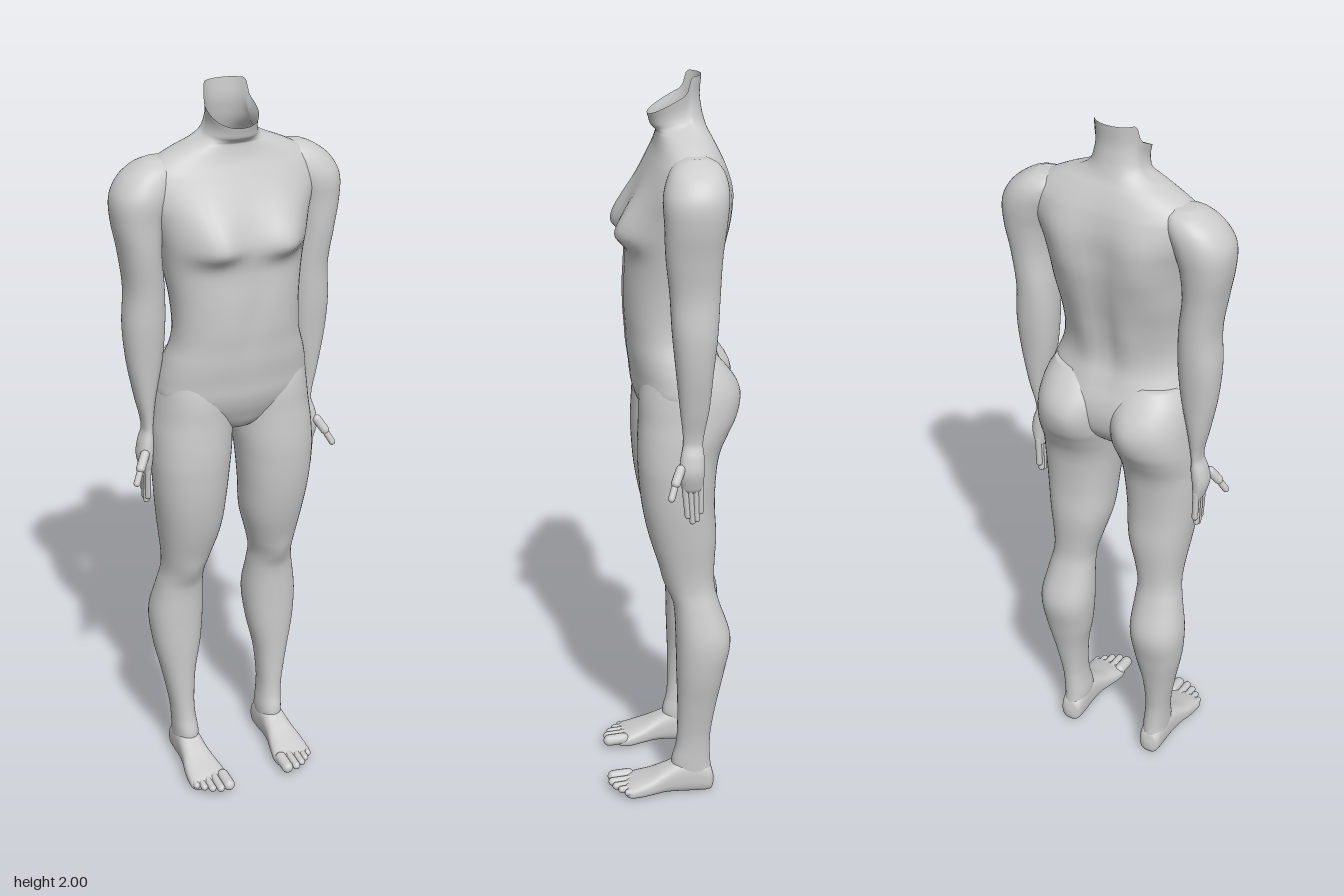
import * as THREE from 'three';

const SIDES = 48, STEPS = 6;
const bell = (d, w) => Math.exp(-(d * d) / (w * w));

// Smooth interpolation between section rows: [t, a0, a1, b0, b1]
function refine(rows) {
  const out = [];
  const slope = (i, k) => {
    const p = rows[Math.max(i - 1, 0)], q = rows[Math.min(i + 1, rows.length - 1)];
    return (q[k] - p[k]) / (q[0] - p[0]);
  };
  for (let i = 0; i < rows.length - 1; i++) {
    const h = rows[i + 1][0] - rows[i][0];
    for (let s = 0; s < STEPS; s++) {
      const u = s / STEPS, u2 = u * u, u3 = u2 * u;
      out.push(rows[i].map((v, k) => k === 0 ? v + h * u :
        (2 * u3 - 3 * u2 + 1) * v + (u3 - 2 * u2 + u) * h * slope(i, k) +
        (3 * u2 - 2 * u3) * rows[i + 1][k] + (u3 - u2) * h * slope(i + 1, k)));
    }
  }
  out.push(rows[rows.length - 1]);
  return out;
}

// Skin over rounded sections, stacked along y (or z), with an optional vertex rule
function loft(rows, { alongZ = false, power = 0.9, capTop = true, rule } = {}) {
  const rings = refine(rows).map(r => [...r, 1]);
  rings.unshift([...rings[0].slice(0, 5), 0]);
  if (capTop) rings.push([...rings[rings.length - 1].slice(0, 5), 0]);
  const pos = [], index = [], p = new THREE.Vector3();
  const bend = v => Math.sign(v) * Math.pow(Math.abs(v), power);
  rings.forEach(([t, a0, a1, b0, b1, open], i) => {
    for (let j = 0; j < SIDES; j++) {
      const ang = j / SIDES * Math.PI * 2, s = Math.sin(ang);
      const a = (a0 + a1) / 2 + (a1 - a0) / 2 * bend(Math.cos(ang)) * open;
      const b = (b0 + b1) / 2 + (b1 - b0) / 2 * bend(s) * open;
      if (alongZ) p.set(a, b, t); else p.set(a, t, b);
      if (rule) rule(p, s * open);
      pos.push(p.x, p.y, p.z);
      if (i === rings.length - 1) continue;
      const k = (j + 1) % SIDES, A = i * SIDES + j, B = i * SIDES + k;
      const C = A + SIDES, D = B + SIDES;
      if (alongZ) index.push(A, B, C, B, D, C);
      else index.push(A, C, B, B, C, D);
    }
  });
  const g = new THREE.BufferGeometry();
  g.setAttribute('position', new THREE.Float32BufferAttribute(pos, 3));
  g.setIndex(index);
  g.computeVertexNormals();
  return g;
}

// Rounded finger or toe between two end points
function digit(from, to, r, flat = 1) {
  const a = new THREE.Vector3(...from), b = new THREE.Vector3(...to);
  const d = b.clone().sub(a), len = d.length();
  const g = new THREE.CapsuleGeometry(r, Math.max(len - 2 * r, 0.001), 6, 14);
  g.applyQuaternion(new THREE.Quaternion().setFromUnitVectors(new THREE.Vector3(0, 1, 0), d.normalize()));
  g.scale(1, flat, 1);
  const m = a.add(b).multiplyScalar(0.5);
  return g.translate(m.x, m.y, m.z);
}

function mirrored(geo) {
  const g = geo.clone().scale(-1, 1, 1), ix = g.index.array;
  for (let i = 0; i < ix.length; i += 3) [ix[i], ix[i + 1]] = [ix[i + 1], ix[i]];
  return g;
}

// Chest, back and neck relief, and the slanted neck cut
function shapeTorso(p, s) {
  const { x, y } = p, ax = Math.abs(x);
  if (s > 0) {
    p.z += s * 0.042 * bell(ax - 0.1, 0.058) * bell(y - 1.618, y > 1.618 ? 0.085 : 0.032);
    p.z -= s * 0.008 * bell(x, 0.02) * bell(y - 1.42, 0.1);
  } else {
    p.z += s * 0.022 * bell(ax - 0.11, 0.06) * bell(y - 1.69, 0.1);
    p.z -= s * 0.014 * bell(x, 0.035) * bell(y - 1.52, 0.22);
    p.z += s * 0.01 * bell(ax - 0.055, 0.04) * bell(y - 1.42, 0.1);
  }
  if (y > 1.86) {
    const front = 1.905 + (0.05 - p.z) * 0.55;
    const cut = THREE.MathUtils.lerp(2, front, THREE.MathUtils.smoothstep(p.z, -0.058, -0.042));
    p.y = 1.86 + (y - 1.86) * (cut - 1.86) / 0.14;
  }
}

// Buttock and kneecap relief
function shapeLeg(p, s) {
  if (s < 0) p.z += s * 0.008 * bell(p.x - 0.08, 0.05) * bell(p.y - 1.19, 0.06);
  else p.z += s * 0.008 * bell(p.x - 0.135, 0.035) * bell(p.y - 0.66, 0.04);
}

export function createModel() {
  const model = new THREE.Group();
  const skin = new THREE.MeshStandardMaterial({ color: 0xcccccc, side: THREE.DoubleSide });
  skin.name = 'light grey';
  const add = (name, geo, parent = model) => {
    const m = new THREE.Mesh(geo, skin);
    m.name = name;
    parent.add(m);
  };

  // Torso and open neck: [y, half width, back, front]
  const torso = [
    [1.085, 0.015, -0.06, 0.0], [1.1, 0.06, -0.09, 0.045], [1.15, 0.165, -0.135, 0.078],
    [1.2, 0.208, -0.148, 0.096], [1.25, 0.207, -0.143, 0.102], [1.3, 0.194, -0.125, 0.109],
    [1.35, 0.177, -0.108, 0.113], [1.4, 0.171, -0.107, 0.117], [1.47, 0.174, -0.12, 0.117],
    [1.55, 0.186, -0.138, 0.112], [1.62, 0.197, -0.147, 0.114], [1.68, 0.213, -0.147, 0.098],
    [1.74, 0.235, -0.146, 0.073], [1.79, 0.232, -0.137, 0.05], [1.82, 0.202, -0.126, 0.037],
    [1.845, 0.155, -0.114, 0.03], [1.865, 0.107, -0.103, 0.028], [1.885, 0.078, -0.095, 0.034],
    [1.91, 0.067, -0.088, 0.042], [1.95, 0.063, -0.082, 0.046], [2.0, 0.066, -0.085, 0.05],
  ].map(([y, w, b, f]) => [y, -w, w, b, f]);
  add('torso', loft(torso, { capTop: false, rule: shapeTorso }));

  // Leg: [y, inner x, outer x, back, front]
  const leg = loft([
    [0.03, 0.11, 0.163, -0.105, -0.03], [0.06, 0.104, 0.168, -0.113, -0.008],
    [0.1, 0.101, 0.17, -0.11, 0.0], [0.15, 0.106, 0.172, -0.108, -0.011],
    [0.2, 0.108, 0.177, -0.11, -0.015], [0.3, 0.1, 0.195, -0.125, -0.015],
    [0.4, 0.08, 0.215, -0.145, -0.012], [0.5, 0.07, 0.222, -0.16, -0.01],
    [0.6, 0.075, 0.205, -0.13, -0.005], [0.65, 0.076, 0.196, -0.117, 0.008],
    [0.7, 0.065, 0.197, -0.115, 0.028], [0.8, 0.038, 0.21, -0.12, 0.06],
    [0.9, 0.028, 0.222, -0.115, 0.08], [1.0, 0.018, 0.228, -0.12, 0.089],
    [1.05, 0.012, 0.227, -0.13, 0.09], [1.1, 0.007, 0.225, -0.152, 0.088],
    [1.14, 0.003, 0.221, -0.17, 0.086], [1.19, 0.002, 0.216, -0.177, 0.085],
    [1.23, 0.004, 0.21, -0.168, 0.08], [1.27, 0.012, 0.2, -0.143, 0.07],
    [1.31, 0.03, 0.18, -0.108, 0.055],
  ], { rule: shapeLeg });

  // Foot: [z, inner x, outer x, sole, top]
  const foot = loft([
    [-0.12, 0.125, 0.147, 0.02, 0.045], [-0.112, 0.108, 0.163, 0.004, 0.075],
    [-0.08, 0.101, 0.169, 0, 0.1], [-0.03, 0.1, 0.172, 0.002, 0.105],
    [0.02, 0.096, 0.178, 0.005, 0.083], [0.06, 0.087, 0.187, 0.003, 0.063],
    [0.1, 0.079, 0.191, 0, 0.048], [0.125, 0.079, 0.188, 0.003, 0.038],
    [0.138, 0.085, 0.165, 0.01, 0.03],
  ], { alongZ: true, power: 0.75 });
  const toes = [[0.094, 0.18, 0.0165], [0.121, 0.179, 0.0115], [0.143, 0.169, 0.0105],
    [0.162, 0.154, 0.0098], [0.179, 0.137, 0.0095]]
    .map(([x, tip, r]) => digit([x, 0.033, tip - 0.075], [x, 0.025, tip], r));

  // Arm with shoulder and palm: [y, inner x, outer x, back, front]
  const arm = loft([
    [0.975, 0.236, 0.25, -0.062, -0.024], [0.987, 0.23, 0.256, -0.069, -0.016],
    [1.03, 0.225, 0.266, -0.073, -0.008], [1.07, 0.221, 0.26, -0.073, -0.012],
    [1.11, 0.221, 0.248, -0.07, -0.019], [1.2, 0.21, 0.265, -0.085, -0.01],
    [1.3, 0.19, 0.283, -0.095, 0.0], [1.4, 0.181, 0.29, -0.105, 0.01],
    [1.5, 0.182, 0.284, -0.11, 0.016], [1.6, 0.19, 0.296, -0.114, 0.027],
    [1.68, 0.182, 0.31, -0.123, 0.03], [1.74, 0.162, 0.31, -0.129, 0.032],
    [1.785, 0.145, 0.286, -0.125, 0.02], [1.815, 0.145, 0.248, -0.108, 0.0],
    [1.83, 0.16, 0.215, -0.08, -0.03],
  ]);
  const fingers = [[-0.021, -0.032, 0.9], [-0.036, -0.044, 0.884],
    [-0.051, -0.055, 0.89], [-0.064, -0.064, 0.912]]
    .map(([z0, z1, tip]) => digit([0.243, 1.01, z0], [0.242, tip, z1], 0.0085));
  const thumb = [digit([0.25, 1.055, -0.015], [0.28, 1.005, 0.008], 0.0125),
    digit([0.268, 1.025, 0.0], [0.295, 0.972, 0.019], 0.009)];

  // Limbs on both sides
  for (const side of ['left', 'right']) {
    const make = g => side === 'left' ? g : mirrored(g);
    const limb = new THREE.Group(), upper = new THREE.Group();
    limb.name = side + 'LegAndFoot';
    upper.name = side + 'ArmAndHand';
    model.add(limb, upper);
    add(side + 'Leg', make(leg), limb);
    add(side + 'Foot', make(foot), limb);
    toes.forEach((g, i) => add(side + 'Toe' + (i + 1), make(g), limb));
    add(side + 'Arm', make(arm), upper);
    fingers.forEach((g, i) => add(side + 'Finger' + (i + 1), make(g), upper));
    thumb.forEach((g, i) => add(side + 'Thumb' + (i + 1), make(g), upper));
  }
  return model;
}
